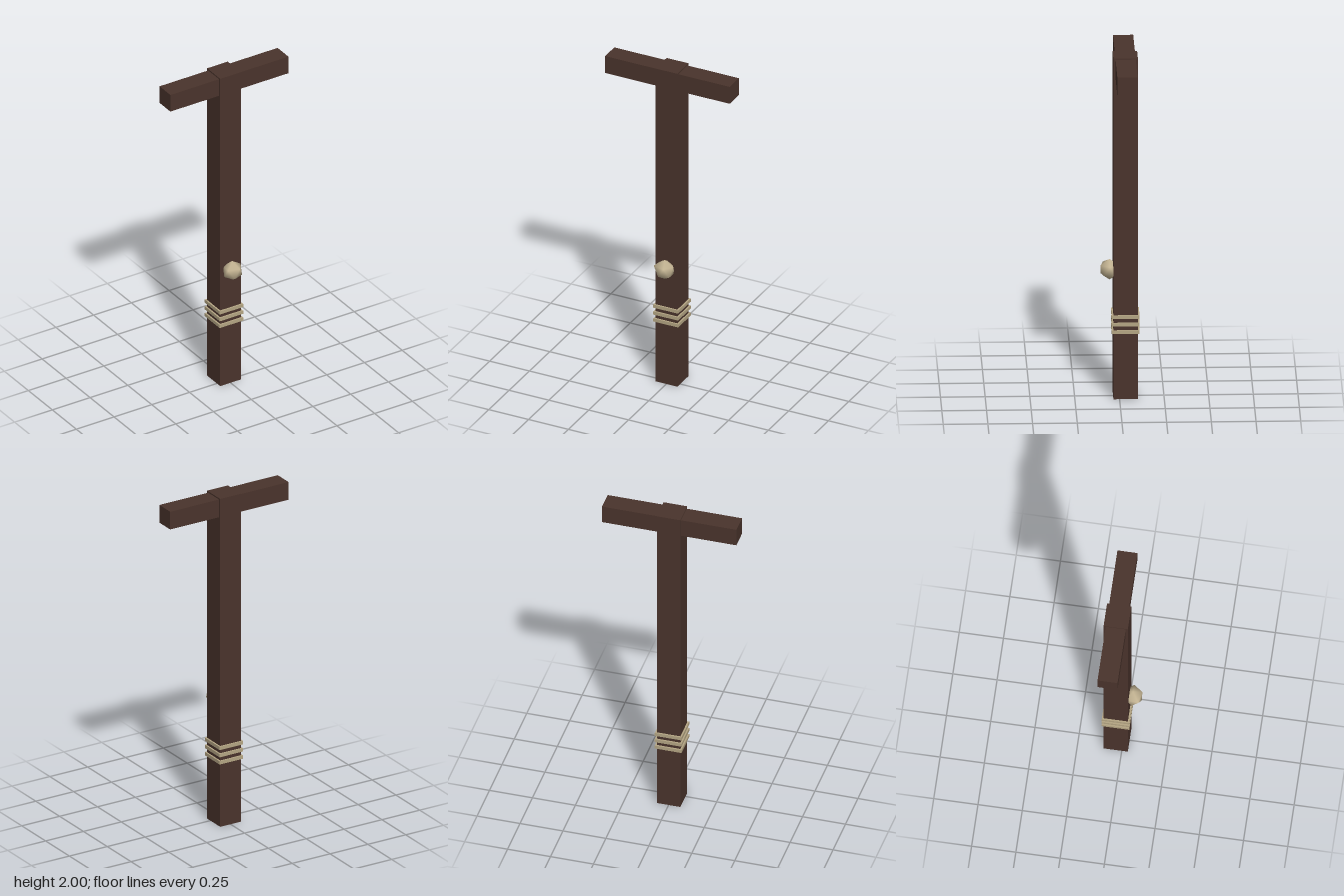
import * as THREE from 'three';
import { mergeVertices } from 'three/addons/utils/BufferGeometryUtils.js';

export function createModel() {
  const model = new THREE.Group();
  model.name = 'woodenPost';

  const material = (name, color) => {
    const m = new THREE.MeshStandardMaterial({ color });
    m.name = name;
    return m;
  };
  const wood = material('dark wood', 0x4a342c);
  const rope = material('rope', 0xb5a684);
  const bone = material('pale bone', 0xc8b896);

  const add = (name, geometry, mat, x, y, z) => {
    const mesh = new THREE.Mesh(geometry, mat);
    mesh.name = name;
    mesh.position.set(x, y, z);
    model.add(mesh);
  };

  const axisZ = -0.034; // the post stands slightly behind the centre

  // Upright and crossbeam
  add('post', new THREE.BoxGeometry(0.137, 2, 0.137), wood, 0, 1, axisZ);
  add('crossbeam', new THREE.BoxGeometry(0.782, 0.108, 0.113), wood, 0, 1.938, axisZ);

  // Three rope bands bound around the post
  [0.395, 0.439, 0.483].forEach((y, i) =>
    add(`ropeBand${i + 1}`, new THREE.BoxGeometry(0.156, 0.02, 0.156), rope, 0, y, axisZ));

  // Knob: smooth-shaded icosahedron standing on a vertex, one corner pulled out
  let knob = new THREE.IcosahedronGeometry(0.06, 0);
  knob.rotateZ(-Math.atan(2 / (1 + Math.sqrt(5))));
  knob.deleteAttribute('uv');
  knob.deleteAttribute('normal');
  knob = mergeVertices(knob, 1e-4);
  const p = knob.attributes.position;
  for (let i = 0; i < p.count; i++) {
    if (p.getX(i) < -0.03 && p.getY(i) > 0.01 && p.getZ(i) > 0.02) {
      p.setXYZ(i, p.getX(i) * 1.18, p.getY(i) * 1.1, p.getZ(i) * 1.15);
    }
  }
  knob.computeVertexNormals();
  add('knob', knob, bone, 0, 0.742, 0.054);

  return model;
}
